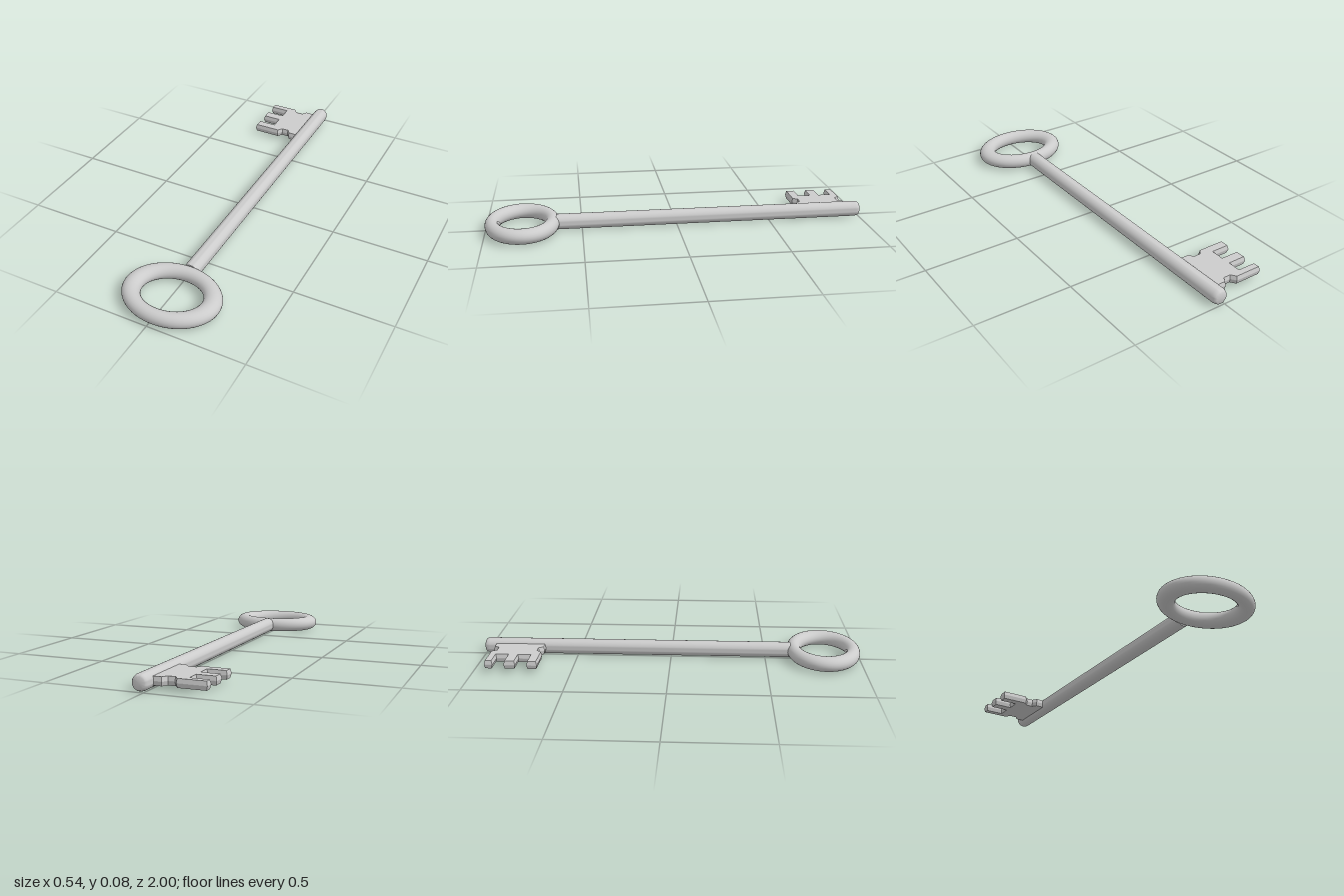
import * as THREE from 'three';
import { toCreasedNormals } from 'three/addons/utils/BufferGeometryUtils.js';

export function createModel() {
  const key = new THREE.Group();
  key.name = 'key';
  const material = new THREE.MeshStandardMaterial({ color: 0xcccccc });
  const axisX = 0.021, axisY = 0.041;

  const add = (name, geometry, x, y, z) => {
    const mesh = new THREE.Mesh(geometry, material);
    mesh.name = name;
    mesh.position.set(x, y, z);
    key.add(mesh);
  };

  // Oval ring handle: a torus laid flat and squashed front to back
  const ring = new THREE.TorusGeometry(0.201, 0.047, 24, 64);
  ring.rotateX(Math.PI / 2);
  ring.scale(1, 0.82, 0.775);
  add('ringHandle', ring, axisX, axisY, 0.807);

  // Round shaft with a softened far end, turned to lie along z
  const profile = [
    [0, -1], [0.028, -1], [0.034, -0.996], [0.038, -0.988], [0.0405, -0.975], [0.0405, 0.632], [0, 0.632],
  ].map(([r, l]) => new THREE.Vector2(r, l));
  const shaft = toCreasedNormals(new THREE.LatheGeometry(profile, 32), 0.7);
  shaft.rotateX(Math.PI / 2);
  add('shaft', shaft, axisX, axisY, 0);

  // Bit outline: three teeth on the outer side, a notch in each long edge
  const outline = [
    [0.02, -0.94], [-0.058, -0.94], [-0.075, -0.914], [-0.108, -0.914], [-0.127, -0.94],
    [-0.271, -0.94], [-0.271, -0.898], [-0.177, -0.898],
    [-0.177, -0.84], [-0.271, -0.84], [-0.271, -0.782], [-0.177, -0.782],
    [-0.177, -0.723], [-0.271, -0.723], [-0.271, -0.67],
    [-0.127, -0.67], [-0.108, -0.694], [-0.075, -0.694], [-0.058, -0.67], [0.02, -0.67],
  ].map(([x, z]) => new THREE.Vector2(x, z));
  const bit = new THREE.ExtrudeGeometry(new THREE.Shape(outline), {
    depth: 0.002, bevelThickness: 0.02, bevelSize: 0.005, bevelOffset: -0.005, bevelSegments: 1,
  });
  bit.translate(0, 0, -0.001);
  bit.rotateX(Math.PI / 2);
  add('bit', bit, 0, axisY, 0);

  return key;
}
